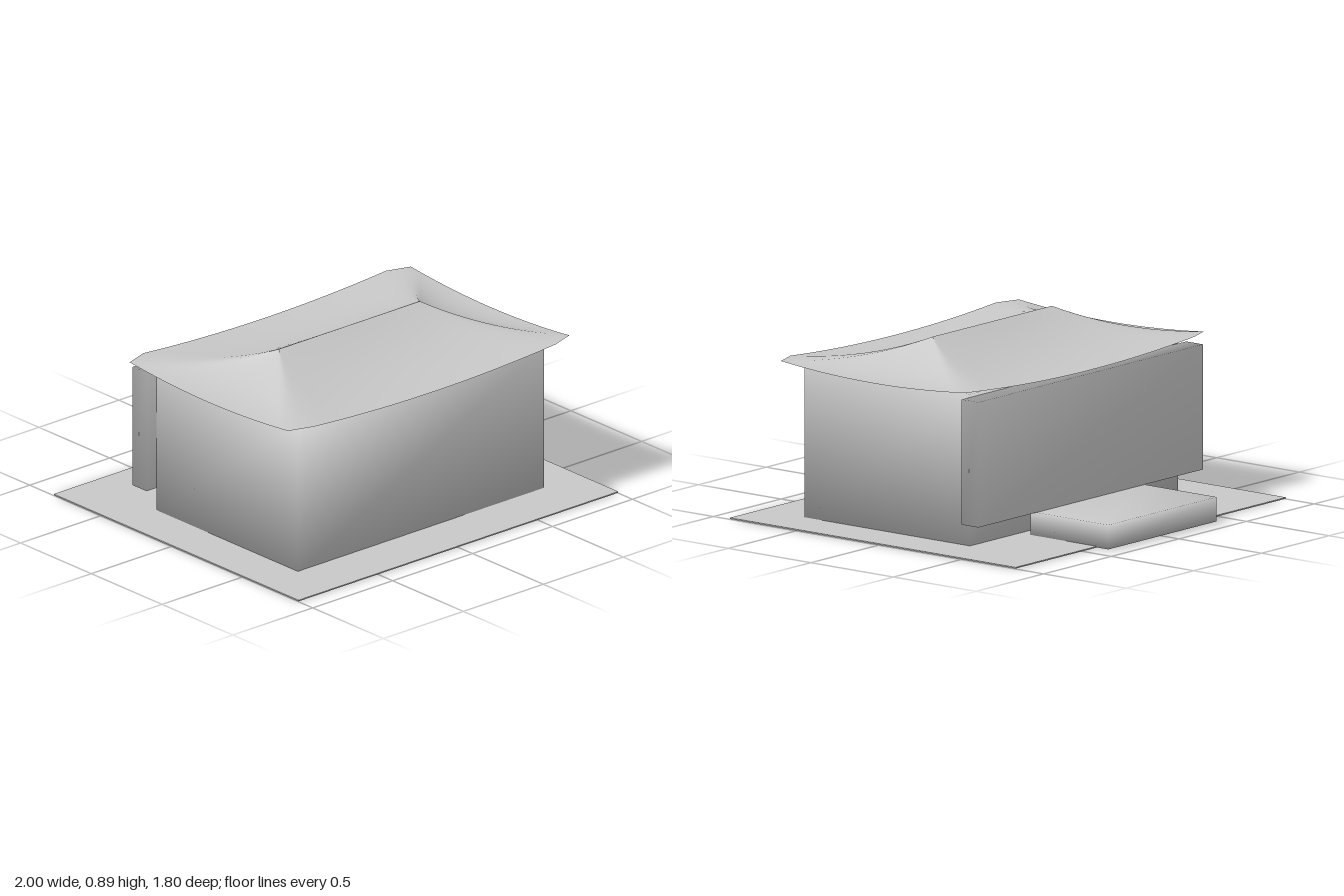
import * as THREE from 'three';
import { mergeVertices } from 'three/addons/utils/BufferGeometryUtils.js';

const CENTRE_Z = 0.13; // ridge line position

// Box from its limits; soft boxes share corner normals for smooth shading
function block(name, material, [x0, x1], [y0, y1], [z0, z1], soft) {
  let geo = new THREE.BoxGeometry(x1 - x0, y1 - y0, z1 - z0);
  if (soft) {
    geo.deleteAttribute('normal');
    geo.deleteAttribute('uv');
    geo = mergeVertices(geo);
    geo.computeVertexNormals();
  }
  geo.translate((x0 + x1) / 2, (y0 + y1) / 2, (z0 + z1) / 2);
  const mesh = new THREE.Mesh(geo, material);
  mesh.name = name;
  return mesh;
}

// Eave outline: four sagging edges joined by clipped corners
function eaveLoop() {
  const corners = [[0.76, 0.6], [0.88, 0.56], [0.88, -0.56], [0.76, -0.6],
    [-0.76, -0.6], [-0.88, -0.56], [-0.88, 0.56], [-0.76, 0.6]];
  const loop = [];
  corners.forEach(([x, z], i) => {
    const [nx, nz] = corners[(i + 1) % corners.length];
    const steps = i % 2 ? 16 : 2;
    for (let s = 0; s < steps; s++) {
      const f = s / steps;
      const lift = i % 2 ? (2 * f - 1) ** 2 : 1;
      loop.push(new THREE.Vector3(x + (nx - x) * f, 0.738 + 0.03 * lift, z + (nz - z) * f));
    }
  });
  return loop;
}

// Swept roof: rings from the ridge line out to the eaves
function roofGeometry() {
  const loop = eaveLoop();
  const n = loop.length, rings = 14;
  const positions = [], indices = [];
  for (let r = 0; r <= rings; r++) {
    const t = r / rings;
    for (const p of loop) {
      const ridgeX = Math.abs(p.z) > 0.59
        ? p.x * 0.44 / 0.76
        : Math.sign(p.x) * 0.44;
      positions.push(
        ridgeX + (p.x - ridgeX) * t,
        p.y + (0.888 - p.y) * (1 - t) ** 2.2,
        CENTRE_Z + p.z * t);
    }
  }
  for (let r = 0; r < rings; r++) {
    for (let i = 0; i < n; i++) {
      const j = (i + 1) % n;
      const a = r * n + i, b = r * n + j, c = a + n, d = b + n;
      indices.push(a, c, d);
      if (r > 0 || Math.abs(positions[3 * a] - positions[3 * b]) > 1e-6) indices.push(a, d, b);
    }
  }
  const geo = new THREE.BufferGeometry();
  geo.setAttribute('position', new THREE.Float32BufferAttribute(positions, 3));
  geo.setIndex(indices);
  geo.computeVertexNormals();
  return geo;
}

export function createModel() {
  const group = new THREE.Group();
  group.name = 'pavilion';
  const grey = new THREE.MeshStandardMaterial({ color: 0xc8c8c8, side: THREE.DoubleSide });
  grey.name = 'plain grey';

  // Ground plate, main hall, rear wall panel and rear step
  group.add(
    block('groundPlate', grey, [-1, 1], [0.002, 0.008], [-0.83, 0.9], false),
    block('hallBody', grey, [-0.77, 0.77], [0, 0.735], [-0.365, 0.635], true),
    block('rearPanel', grey, [-0.83, 0.83], [0.12, 0.72], [-0.465, -0.365], true),
    block('rearStep', grey, [-0.4, 0.4], [0.003, 0.12], [-0.9, -0.43], true));

  // Hipped roof with upturned corners
  const roof = new THREE.Mesh(roofGeometry(), grey);
  roof.name = 'roof';
  group.add(roof);
  return group;
}
